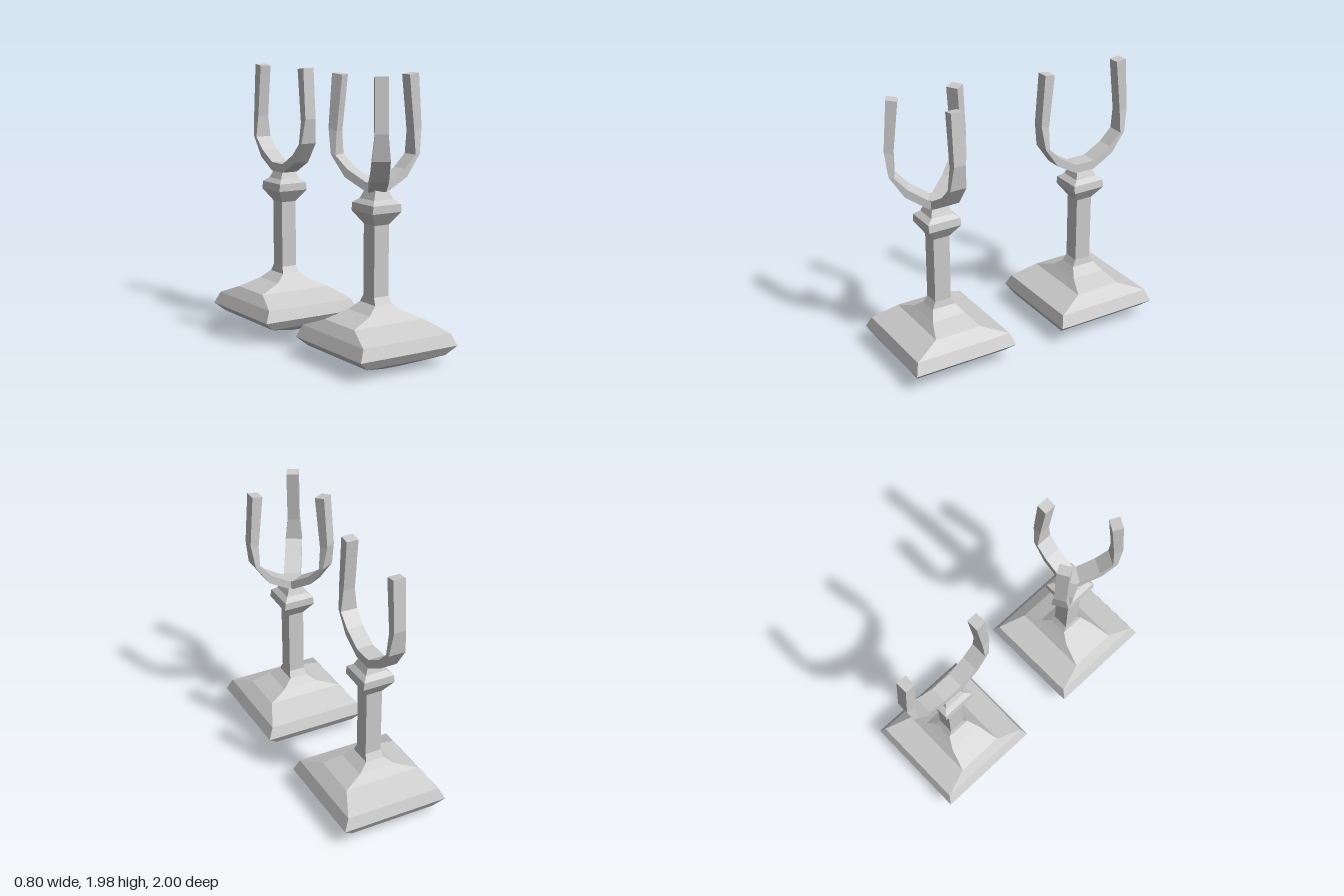
import * as THREE from 'three';

const material = new THREE.MeshStandardMaterial({ color: 0xcccccc, flatShading: true });

// Skin a list of four-cornered rings and close both ends
function loft(rings, name) {
  const pos = [];
  const quad = (a, b, c, d) => [a, b, c, a, c, d].forEach((p) => pos.push(...p));
  for (let k = 0; k < rings.length - 1; k++) {
    const a = rings[k], b = rings[k + 1];
    for (let i = 0; i < 4; i++) {
      const j = (i + 1) % 4;
      quad(a[i], a[j], b[j], b[i]);
    }
  }
  const s = rings[0], e = rings[rings.length - 1];
  quad(s[3], s[2], s[1], s[0]);
  quad(e[0], e[1], e[2], e[3]);
  const geo = new THREE.BufferGeometry();
  geo.setAttribute('position', new THREE.Float32BufferAttribute(pos, 3));
  geo.computeVertexNormals();
  const mesh = new THREE.Mesh(geo, material);
  mesh.name = name;
  return mesh;
}

// Rectangular levels: [y, half width x, half depth z, x offset]
const levelRing = ([y, hx, hz, cx = 0]) => [
  [cx + hx, y, hz], [cx + hx, y, -hz], [cx - hx, y, -hz], [cx - hx, y, hz],
];

const baseLevels = [
  [0, 0.06, 0.19], [0.075, 0.325, 0.36], [0.14, 0.4, 0.4], [0.225, 0.36, 0.37],
  [0.3, 0.287, 0.178, -0.015], [0.36, 0.14, 0.13], [0.415, 0.07, 0.09], [0.465, 0.06, 0.063],
];
const stemLevels = [[0.465, 0.06, 0.063], [0.96, 0.06, 0.063]];
const knobLevels = [
  [0.96, 0.06, 0.063], [1.05, 0.12, 0.125], [1.105, 0.113, 0.125],
  [1.135, 0.08, 0.085], [1.19, 0.055, 0.064], [1.22, 0.045, 0.05],
];

// Prong stations: [inner radius, inner y, outer radius, outer y, half width]
const prongStations = [
  [0.19, 1.33, 0.21, 1.275, 0.062], [0.28, 1.42, 0.315, 1.425, 0.062],
  [0.28, 1.58, 0.342, 1.605, 0.044], [0.238, 1.965, 0.315, 1.975, 0.044],
];

function prong(angle, hub, spread) {
  const stations = [
    [0, 1.25, 0, 1.185, 0.062], [hub, 1.25, hub, 1.185, 0.062],
    ...prongStations.map(([ri, yi, ro, yo, w]) => [ri + spread, yi, ro + spread, yo, w]),
  ];
  const rings = stations.map(([ri, yi, ro, yo, w]) => [
    [ro, yo, w], [ro, yo, -w], [ri, yi, -w], [ri, yi, w],
  ]);
  const mesh = loft(rings, 'prong');
  mesh.rotation.y = angle;
  return mesh;
}

// One stand: stepped base, square stem, knob and a ring of prongs
function stand(name, z, angles, hub, spread) {
  const group = new THREE.Group();
  group.name = name;
  group.add(
    loft(baseLevels.map(levelRing), 'base'),
    loft(stemLevels.map(levelRing), 'stem'),
    loft(knobLevels.map(levelRing), 'knob'),
    ...angles.map((a) => prong(a, hub, spread)),
  );
  group.position.z = z;
  return group;
}

export function createModel() {
  const model = new THREE.Group();
  model.name = 'prongedStands';
  const third = (Math.PI * 2) / 3;
  model.add(
    stand('threeProngStand', 0.6, [0, third, -third], 0.05, 0),
    stand('twoProngStand', -0.6, [Math.PI / 2, -Math.PI / 2], 0.077, 0.028),
  );
  return model;
}
